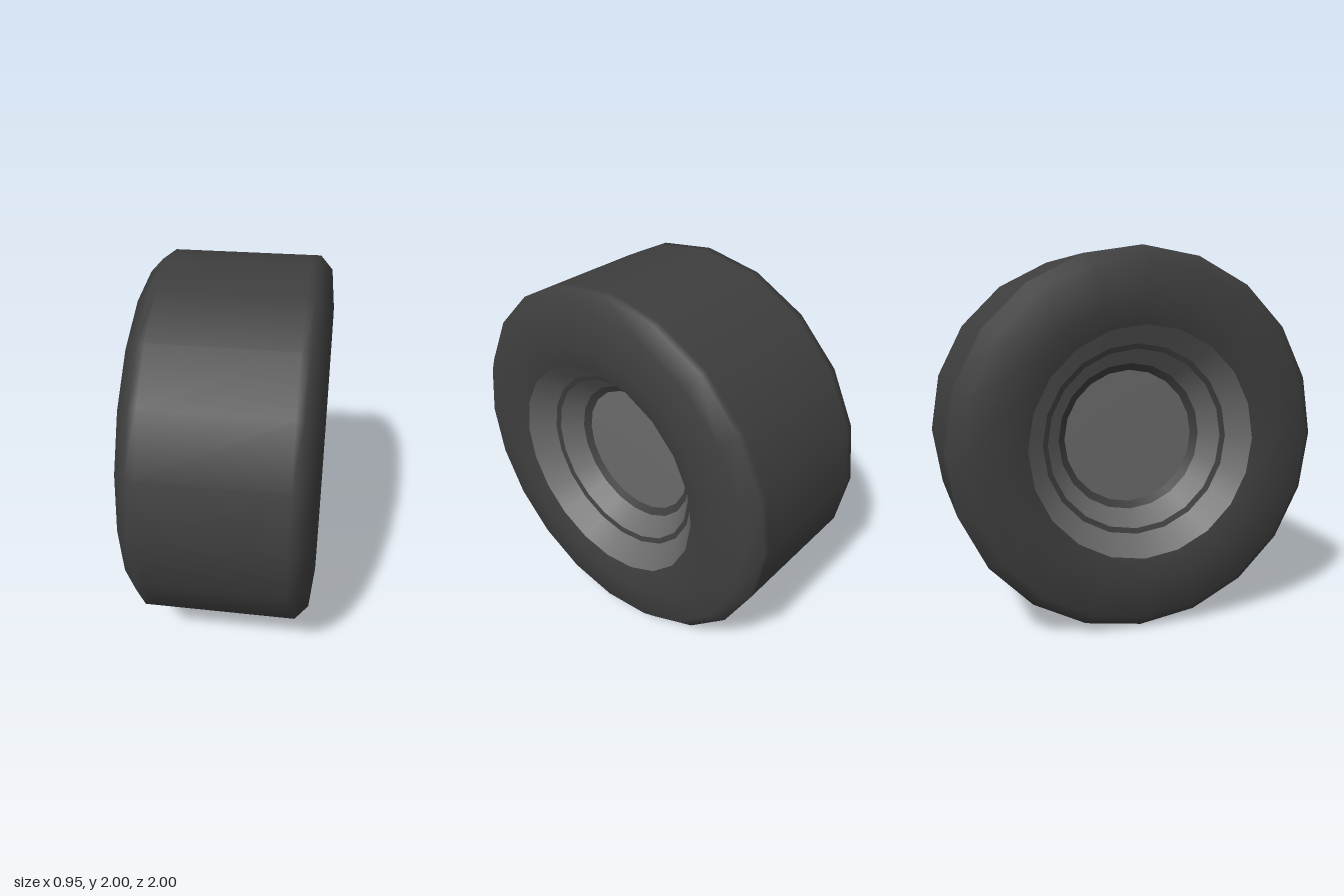
import * as THREE from 'three';

const SEGMENTS = 20;

export function createModel() {
  const rubber = new THREE.MeshStandardMaterial({ color: 0x3e3e3e });
  rubber.name = 'dark rubber';
  const metal = new THREE.MeshStandardMaterial({ color: 0x6a6a6a });
  metal.name = 'grey metal';

  // Revolves [radius, x] points around the x axis
  function revolve(name, profile, material) {
    const points = profile.map(([r, x]) => new THREE.Vector2(r, x));
    const geometry = new THREE.LatheGeometry(points, SEGMENTS);
    geometry.rotateZ(-Math.PI / 2);
    const mesh = new THREE.Mesh(geometry, material);
    mesh.name = name;
    return mesh;
  }

  const wheel = new THREE.Group();
  wheel.name = 'wheel';

  // Tyre: tread, rounded shoulders and side walls, mirrored about x = 0
  const half = [[1, 0.35], [1, 0.39], [0.93, 0.455], [0.73, 0.477], [0.61, 0.45]];
  const mirrored = half.map(([r, x]) => [r, -x]).reverse();
  wheel.add(revolve('tyre', [...mirrored, ...half], rubber));

  // Recessed rim and hub, the same on both sides
  for (const [side, turn] of [['left', 0], ['right', Math.PI]]) {
    const rim = new THREE.Group();
    rim.name = side + 'Rim';
    rim.add(
      revolve('outerRimBand', [[0.61, 0.45], [0.51, 0.33]], metal),
      revolve('rimGroove', [[0.51, 0.33], [0.482, 0.32]], rubber),
      revolve('innerRimBand', [[0.482, 0.32], [0.4, 0.215]], metal),
      revolve('hubSeat', [[0.4, 0.215], [0.362, 0.19]], rubber),
      revolve('hubCap', [[0.362, 0.19], [0.2, 0.192], [0, 0.192]], metal)
    );
    rim.rotation.y = turn;
    wheel.add(rim);
  }

  wheel.position.y = 1;
  const model = new THREE.Group();
  model.name = 'model';
  model.add(wheel);
  return model;
}
